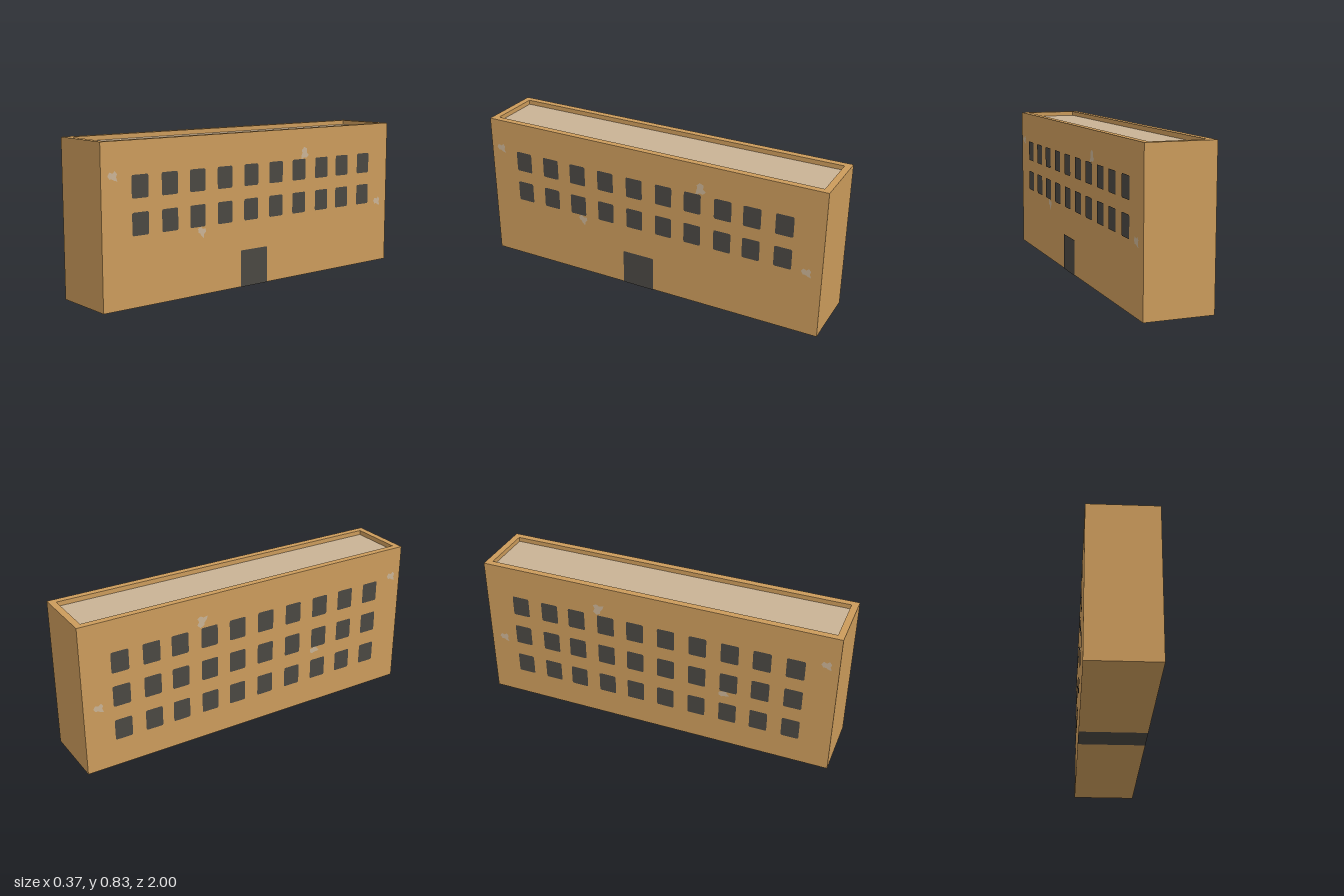
import * as THREE from 'three';

const W = 0.366, H = 0.83, L = 2;      // building width, height, length
const ROOF = 0.805, RIM = 0.034;       // roof level and parapet thickness

const mat = (name, color) => {
  const m = new THREE.MeshStandardMaterial({ color });
  m.name = name;
  return m;
};

// Upright rectangle with softened corners, centred on its origin
function panelShape(w, h, r) {
  const s = new THREE.Shape(), x = w / 2, y = h / 2;
  s.moveTo(-x + r, -y);
  s.lineTo(x - r, -y); s.quadraticCurveTo(x, -y, x, -y + r);
  s.lineTo(x, y - r); s.quadraticCurveTo(x, y, x - r, y);
  s.lineTo(-x + r, y); s.quadraticCurveTo(-x, y, -x, y - r);
  s.lineTo(-x, -y + r); s.quadraticCurveTo(-x, -y, -x + r, -y);
  return s;
}

const rect = (w, h) => [[-1, -1], [1, -1], [1, 1], [-1, 1]]
  .map(([a, b]) => new THREE.Vector2(a * w / 2, b * h / 2));

export function createModel() {
  const model = new THREE.Group();
  model.name = 'building';
  const wall = mat('ochre wall', 0xcb9b5b);
  const roof = mat('pale plaster', 0xc9b294);
  const dark = mat('dark opening', 0x4a4742);

  const add = (name, geometry, material, x = 0, y = 0, z = 0) => {
    const mesh = new THREE.Mesh(geometry, material);
    mesh.name = name;
    mesh.position.set(x, y, z);
    model.add(mesh);
    return mesh;
  };

  // Main block, with the roof surface on its top face
  add('walls', new THREE.BoxGeometry(W, ROOF, L),
    [wall, wall, roof, wall, wall, wall], 0, ROOF / 2, 0);

  // Parapet frame around the roof
  const frame = new THREE.Shape(rect(W, L));
  frame.holes.push(new THREE.Path(rect(W - 2 * RIM - 0.004, L - 2 * RIM - 0.004)));
  const parapet = new THREE.ExtrudeGeometry(frame, { depth: H - ROOF, bevelEnabled: false });
  parapet.rotateX(-Math.PI / 2);
  add('parapet', parapet, wall, 0, ROOF, 0);

  // Places a flat shape on the long side given by side = 1 (+x) or -1 (-x)
  const onSide = (name, geometry, material, side, y, z, lift = 0.004) => {
    const mesh = add(name, geometry, material, side * (W / 2 + lift), y, z);
    mesh.rotation.y = side * Math.PI / 2;
    return mesh;
  };

  // Window rows: two above the door, three on the opposite side
  const columns = [0.781, 0.604, 0.43, 0.252, 0.073, -0.104, -0.275, -0.449, -0.612, -0.788];
  const windowGeo = new THREE.ShapeGeometry(panelShape(0.098, 0.116, 0.01), 3);
  const rows = { 1: [0.603, 0.418], [-1]: [0.598, 0.408, 0.213] };
  for (const side of [1, -1])
    for (const y of rows[side])
      for (const z of columns) onSide('window', windowGeo, dark, side, y, z);

  // Door and the dark strip under the building
  const doorW = 0.186, doorZ = 0.052;
  onSide('door', new THREE.ShapeGeometry(panelShape(doorW, 0.2, 0.006), 3), dark, 1, 0.1, doorZ);
  const strip = new THREE.PlaneGeometry(W, doorW);
  strip.rotateX(Math.PI / 2);
  add('undersideStrip', strip, dark, 0, -0.002, doorZ);

  // Worn plaster patches
  const outline = [[-0.029, 0.004], [-0.018, 0.022], [0, 0.016], [0.013, 0.027], [0.025, 0.012],
    [0.019, -0.004], [0.027, -0.024], [0.01, -0.02], [-0.004, -0.012], [-0.018, -0.012]];
  const patchGeo = new THREE.ShapeGeometry(
    new THREE.Shape(outline.map(([x, y]) => new THREE.Vector2(x, y))));
  const patches = [[0.66, 0.935, 0], [0.692, -0.316, -1.4], [0.332, 0.405, -0.5], [0.363, -0.918, 0]];
  for (const side of [1, -1])
    for (const [y, z, turn] of patches) {
      const patch = onSide('plasterPatch', patchGeo, roof, side, y, z, 0.002);
      patch.rotation.z = side * turn;
      if (turn < -1) patch.scale.setScalar(1.2);
    }

  return model;
}
